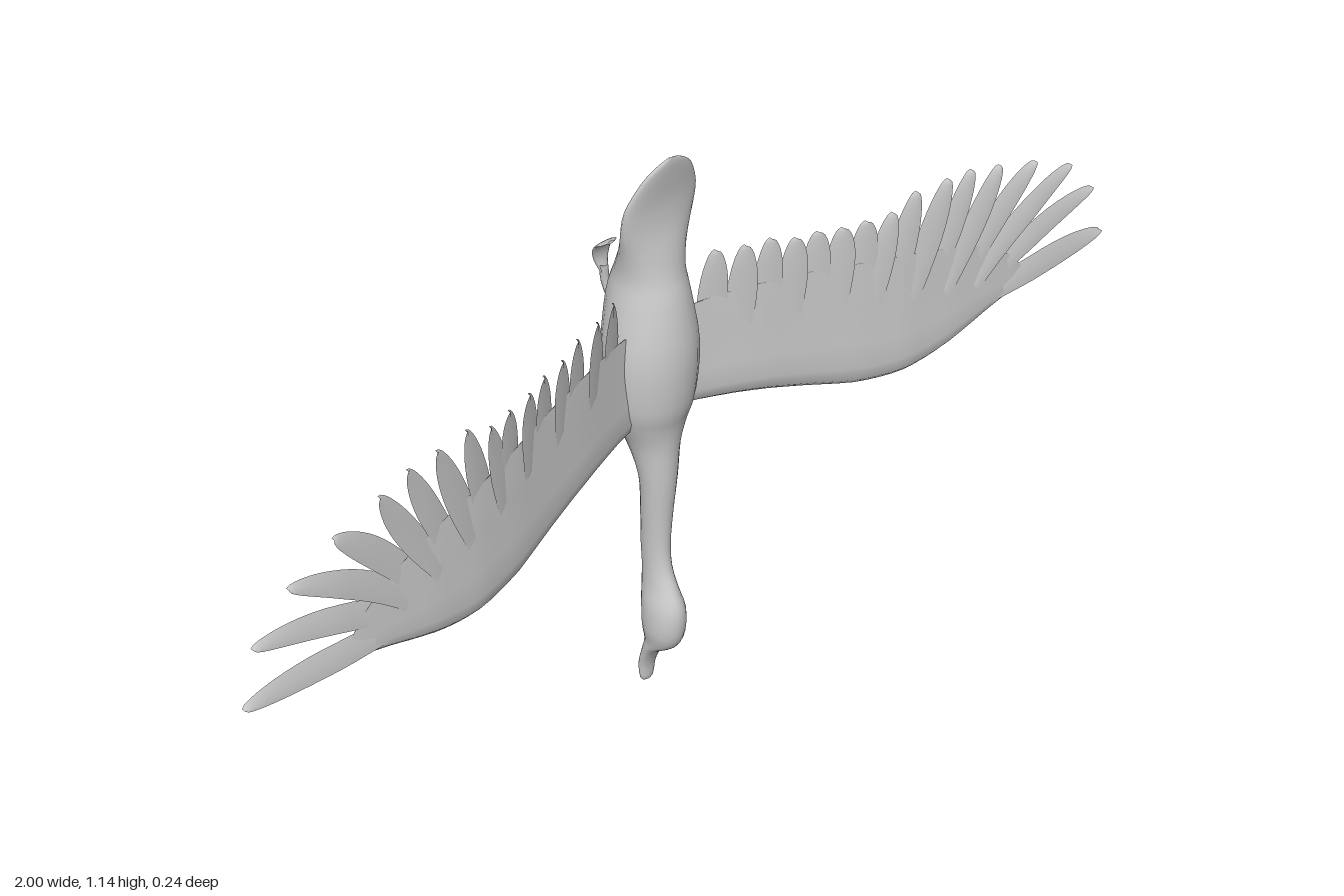
import * as THREE from 'three';

const grey = new THREE.MeshStandardMaterial({ color: 0xcccccc });
const thin = new THREE.MeshStandardMaterial({ color: 0xcccccc, side: THREE.DoubleSide });

// Skin a list of equal-length rows of Vector3; closed wraps each row into a ring.
function loft(rows, closed, flip = false) {
  const n = rows[0].length, pos = [], idx = [];
  rows.forEach(r => r.forEach(p => pos.push(p.x, p.y, p.z)));
  const quad = (a, b, c, d) => flip ? idx.push(a, c, b, b, c, d) : idx.push(a, b, c, b, d, c);
  for (let i = 0; i < rows.length - 1; i++)
    for (let j = 0; j < (closed ? n : n - 1); j++) {
      const k = (j + 1) % n;
      quad(i * n + j, (i + 1) * n + j, i * n + k, (i + 1) * n + k);
    }
  const g = new THREE.BufferGeometry();
  g.setAttribute('position', new THREE.Float32BufferAttribute(pos, 3));
  g.setIndex(idx);
  g.computeVertexNormals();
  return g;
}

const V = (x, y, z) => new THREE.Vector3(x, y, z);

function named(name, geometry, material) {
  const m = new THREE.Mesh(geometry, material);
  m.name = name;
  return m;
}

// Bill, head, neck, trunk and tail: [y, half width, belly z, back z]
const BODY = [
  [0, 0.002, -0.05, -0.046], [0.008, 0.014, -0.054, -0.038], [0.045, 0.019, -0.055, -0.033],
  [0.085, 0.023, -0.045, -0.012], [0.115, 0.027, -0.041, 0.027], [0.15, 0.034, -0.045, 0.043],
  [0.2, 0.033, -0.048, 0.045], [0.24, 0.025, -0.05, 0.03], [0.28, 0.022, -0.05, 0.014],
  [0.33, 0.023, -0.052, 0.009], [0.4, 0.027, -0.05, 0.013], [0.48, 0.034, -0.051, 0.02],
  [0.55, 0.046, -0.08, 0.023], [0.6, 0.067, -0.108, 0.03], [0.65, 0.082, -0.123, 0.043],
  [0.75, 0.086, -0.118, 0.049], [0.85, 0.071, -0.112, 0.036], [0.9, 0.063, -0.095, 0.023],
  [0.95, 0.068, -0.07, 0.014], [1.0, 0.079, -0.043, 0.006], [1.05, 0.08, -0.025, 0.006],
  [1.1, 0.057, -0.006, 0.014], [1.125, 0.03, 0.006, 0.018], [1.138, 0.003, 0.015, 0.018],
];

function buildBody() {
  const belly = new THREE.CatmullRomCurve3(BODY.map(([y, w, b]) => V(w, y, b)), false, 'catmullrom', 0.5);
  const back = new THREE.CatmullRomCurve3(BODY.map(([y, w, , t]) => V(w, y, t)), false, 'catmullrom', 0.5);
  const rows = [], steps = (BODY.length - 1) * 3, sides = 24;
  for (let i = 0; i <= steps; i++) {
    const b = belly.getPoint(i / steps), t = back.getPoint(i / steps), ring = [];
    for (let j = 0; j < sides; j++) {
      const a = j / sides * Math.PI * 2;
      ring.push(V(b.x * Math.cos(a), b.y, (b.z + t.z) / 2 + (t.z - b.z) / 2 * Math.sin(a)));
    }
    rows.push(ring);
  }
  return named('body', loft(rows, true), grey);
}

// Height of the wing surface: bowed forward along the span, tilted near the root
const SPAN = [[0.03, -0.03], [0.1, -0.012], [0.2, 0.018], [0.3, 0.043], [0.4, 0.07], [0.5, 0.09],
  [0.6, 0.1], [0.8, 0.111], [1.01, 0.108]];
function wingZ(x, y) {
  let i = 0;
  while (i < SPAN.length - 2 && x > SPAN[i + 1][0]) i++;
  const [x0, z0] = SPAN[i], [x1, z1] = SPAN[i + 1];
  return THREE.MathUtils.lerp(z0, z1, (x - x0) / (x1 - x0)) + Math.max(0, 0.6 - x) * 0.13 * (y - 0.72);
}

// Fleshy wing: [x, leading y, trailing y, thickness]
const WING = [
  [0.03, 0.59, 0.79, 0.034], [0.1, 0.585, 0.8, 0.032], [0.2, 0.572, 0.8, 0.03], [0.3, 0.547, 0.79, 0.03],
  [0.4, 0.52, 0.775, 0.028], [0.48, 0.51, 0.76, 0.026], [0.55, 0.515, 0.745, 0.022],
  [0.63, 0.535, 0.72, 0.018], [0.7, 0.557, 0.69, 0.013], [0.76, 0.573, 0.645, 0.008], [0.79, 0.581, 0.605, 0.002],
];
const FOIL = [[0, 0], [0.04, 0.35], [0.15, 0.55], [0.35, 0.45], [0.65, 0.2], [1, 0.04],
  [1, -0.04], [0.65, -0.14], [0.35, -0.3], [0.15, -0.4], [0.04, -0.3]];

// Flight feathers: [base x, base y, control x, control y, tip x, tip y, half width]
const PRIMARIES = [
  [0.42, 0.66, 0.44, 0.76, 0.462, 0.86, 0.026], [0.46, 0.65, 0.49, 0.77, 0.515, 0.882, 0.028],
  [0.5, 0.65, 0.55, 0.78, 0.585, 0.882, 0.028], [0.54, 0.64, 0.61, 0.78, 0.645, 0.875, 0.026],
  [0.58, 0.64, 0.665, 0.77, 0.71, 0.86, 0.026], [0.62, 0.63, 0.72, 0.77, 0.805, 0.828, 0.026],
  [0.65, 0.62, 0.76, 0.74, 0.9, 0.782, 0.025], [0.67, 0.605, 0.8, 0.69, 0.972, 0.7, 0.025],
  [0.68, 0.59, 0.85, 0.61, 1.0, 0.597, 0.026],
];
const SECONDARIES = [0.118, 0.17, 0.222, 0.268, 0.315, 0.36, 0.41].map((x, i) =>
  [x - 0.005, 0.7, x, 0.8, x, 0.897 - 0.005 * i - (i > 2 ? 0.008 : 0), 0.026]);

function feather([bx, by, cx, cy, tx, ty, w], s, layer) {
  const path = new THREE.QuadraticBezierCurve(
    new THREE.Vector2(bx, by), new THREE.Vector2(cx, cy), new THREE.Vector2(tx, ty));
  const rows = [], steps = 14;
  for (let i = 0; i <= steps; i++) {
    const t = 1 - (1 - i / steps) ** 1.5;
    const p = path.getPoint(t), d = path.getTangent(t);
    const half = w * (0.75 + 0.25 * Math.sin(t * Math.PI)) * Math.sqrt(1 - t ** 5);
    // ridge along the quill, edges overlapping like tiles
    rows.push([-1, 0, 1].map(k => {
      const x = p.x + d.y * half * k, y = p.y - d.x * half * k;
      return V(s * x, y, wingZ(x, y) + layer + (k === 0 ? 0.003 : 0) + k * 0.004);
    }));
  }
  return named('feather', loft(rows, false, s < 0), thin);
}

function buildWing(s) {
  const wing = new THREE.Group();
  wing.name = s > 0 ? 'leftWing' : 'rightWing';
  const curve = new THREE.CatmullRomCurve3(WING.map(([x, a, b]) => V(x, a, b)), false, 'catmullrom', 0.5);
  const rows = [], steps = (WING.length - 1) * 3;
  for (let i = 0; i <= steps; i++) {
    const p = curve.getPoint(i / steps), k = Math.min(Math.floor(i / 3), WING.length - 2);
    const thick = THREE.MathUtils.lerp(WING[k][3], WING[k + 1][3], i / 3 - k);
    rows.push(FOIL.map(([u, v]) => {
      const y = THREE.MathUtils.lerp(p.y, p.z, u);
      return V(s * p.x, y, wingZ(p.x, y) + v * thick);
    }));
  }
  wing.add(named('wingArm', loft(rows, true, s < 0), thin));
  [...SECONDARIES, ...PRIMARIES].forEach((f, i) => wing.add(feather(f, s, i % 2 ? 0.002 : -0.002)));
  return wing;
}

// Tucked foot: slim shank, then a curled web
function buildFoot(s) {
  const foot = new THREE.Group();
  foot.name = s > 0 ? 'leftFoot' : 'rightFoot';
  const shank = new THREE.CatmullRomCurve3([V(s * 0.025, 0.81, -0.1), V(s * 0.03, 0.845, -0.112), V(s * 0.035, 0.885, -0.112)]);
  foot.add(named('shank', new THREE.TubeGeometry(shank, 8, 0.008, 8), grey));
  const web = new THREE.CatmullRomCurve3([V(s * 0.033, 0.865, -0.112), V(s * 0.036, 0.9, -0.117),
    V(s * 0.04, 0.93, -0.106), V(s * 0.044, 0.945, -0.082)]);
  const rows = [];
  for (let i = 0; i <= 10; i++) {
    const t = i / 10, p = web.getPoint(t), d = web.getTangent(t);
    const w = 0.007 + 0.017 * Math.sin(Math.min(1, t * 1.3) * Math.PI / 2) * Math.sqrt(1 - t ** 6);
    const h = 0.005 * (1 - 0.6 * t), ring = [];
    for (let j = 0; j < 10; j++) {
      const a = j / 10 * Math.PI * 2, off = h * Math.sin(a);
      ring.push(V(p.x + w * Math.cos(a), p.y - d.z * off, p.z + d.y * off));
    }
    rows.push(ring);
  }
  foot.add(named('web', loft(rows, true), thin));
  return foot;
}

export function createModel() {
  const bird = new THREE.Group();
  bird.name = 'flyingBird';
  bird.add(buildBody());
  for (const s of [1, -1]) bird.add(buildWing(s), buildFoot(s));
  return bird;
}
